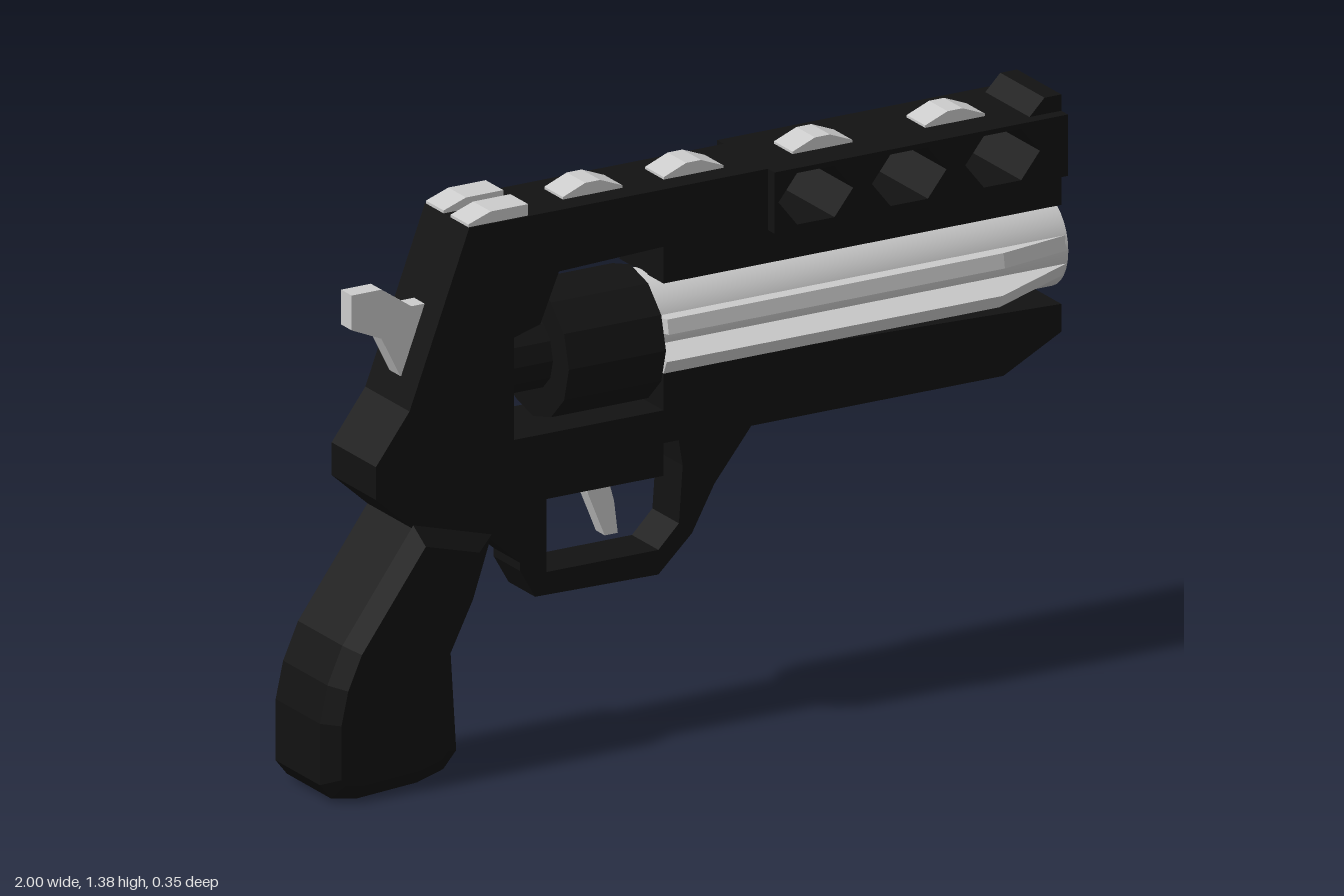
import * as THREE from 'three';
import { toCreasedNormals } from 'three/addons/utils/BufferGeometryUtils.js';

const black = new THREE.MeshStandardMaterial({ color: 0x121212 });
const grey = new THREE.MeshStandardMaterial({ color: 0xcccccc });

const toPoints = (list) => list.map(([x, y]) => new THREE.Vector2(x, y));

// Extrudes a side profile to a half width, centred on z = 0, with an optional inward bevel
function slab(profile, half, { holes = [], bevel = 0, bevelDepth = 0 } = {}) {
  const shape = new THREE.Shape(toPoints(profile));
  for (const h of holes) shape.holes.push(new THREE.Path(toPoints(h)));
  const depth = 2 * (half - bevelDepth);
  const geo = new THREE.ExtrudeGeometry(shape, {
    depth, bevelEnabled: bevel > 0, bevelSize: bevel, bevelOffset: -bevel,
    bevelThickness: bevelDepth, bevelSegments: 1,
  });
  return geo.translate(0, 0, -depth / 2);
}

// Revolves [x, radius] points around a line along x at height y
function turned(profile, y, sides) {
  const geo = new THREE.LatheGeometry(profile.map(([x, r]) => new THREE.Vector2(r, x)), sides);
  return toCreasedNormals(geo.rotateZ(-Math.PI / 2), 0.4).translate(0, y, 0);
}

const hexagon = (cx, cy, w, h) =>
  [[-w, 0], [-w / 2, h], [w / 2, h], [w, 0], [w / 2, -h], [-w / 2, -h]].map(([x, y]) => [cx + x, cy + y]);

export function createModel() {
  const model = new THREE.Group();
  const add = (name, geo, mat) => {
    const mesh = new THREE.Mesh(geo, mat);
    mesh.name = name;
    model.add(mesh);
    return mesh;
  };
  const vents = [0.31, 0.56, 0.81].map((x) => hexagon(x, 1.265, 0.1, 0.063));

  // Frame: top strap with front sight, recoil shield, lower bar and underlug
  add('frame', slab([
    [-0.6, 1.34], [0.9, 1.34], [0.94, 1.38], [0.985, 1.38], [0.985, 1.11], [-0.08, 1.11],
    [-0.08, 1.2], [-0.36, 1.19], [-0.41, 1.07], [-0.48, 1.05], [-0.48, 0.8], [-0.08, 0.8],
    [-0.08, 0.895], [0.3, 0.89], [0.985, 0.868], [0.985, 0.8], [0.83, 0.72], [-0.08, 0.72],
    [-0.08, 0.64], [-0.43, 0.64], [-0.54, 0.57], [-0.75, 0.63], [-0.85, 0.72], [-0.85, 0.8],
    [-0.76, 0.92],
  ], 0.1, { holes: vents }), black);

  // Wider vented rail along the front of the strap
  add('ventedRail', slab([[0.2, 1.19], [0.985, 1.19], [0.985, 1.34], [0.2, 1.34]], 0.13, { holes: vents }), black);

  // Grip with chamfered edges
  add('grip', slab([
    [-0.75, 0.64], [-0.94, 0.38], [-0.98, 0.29], [-1, 0.2], [-1, 0.05], [-0.97, 0.012], [-0.9, 0],
    [-0.74, 0.01], [-0.67, 0.03], [-0.635, 0.07], [-0.65, 0.31], [-0.59, 0.43], [-0.54, 0.58],
  ], 0.13, { bevel: 0.04, bevelDepth: 0.03 }), black);

  // Trigger guard and trigger
  add('triggerGuard', slab([
    [-0.54, 0.57], [-0.44, 0.48], [-0.44, 0.46], [-0.4, 0.39], [-0.07, 0.385], [0.02, 0.47],
    [0.08, 0.58], [0.2, 0.73], [-0.02, 0.73], [-0.005, 0.64], [-0.015, 0.5], [-0.07, 0.445],
    [-0.37, 0.445], [-0.37, 0.66], [-0.5, 0.66],
  ], 0.06), black);
  add('trigger', slab([
    [-0.25, 0.66], [-0.235, 0.6], [-0.19, 0.49], [-0.155, 0.49], [-0.165, 0.57], [-0.19, 0.66],
  ], 0.02), grey);

  // Cylinder and its rear hub
  add('cylinder', turned([[-0.37, 0], [-0.37, 0.162], [-0.11, 0.162], [-0.11, 0]], 0.97, 12), black);
  add('cylinderHub', turned([[-0.5, 0], [-0.5, 0.09], [-0.36, 0.09], [-0.36, 0]], 0.97, 12), black);

  // Barrel with a bore open at the muzzle
  add('barrel', turned([
    [-0.11, 0], [-0.11, 0.115], [0.995, 0.115], [0.995, 0.072], [0.6, 0.072], [0.6, 0],
  ], 1, 32), grey);

  // Two tapering fins on each side of the barrel
  for (const side of [-1, 1]) {
    for (const angle of [80, 115]) {
      const fin = add('barrelFin', slab([
        [-0.11, 0.08], [-0.11, 0.174], [0.79, 0.174], [0.99, 0.114], [0.99, 0.08],
      ], 0.018), grey);
      fin.rotation.x = side * THREE.MathUtils.degToRad(angle);
      fin.position.y = 1;
    }
  }

  // Hammer
  add('hammer', slab([
    [-0.87, 1.2], [-0.79, 1.2], [-0.71, 1.145], [-0.6, 1.145], [-0.6, 0.98], [-0.74, 0.98],
    [-0.79, 1.08], [-0.87, 1.115],
  ], 0.024), grey);

  // Split rear sight
  for (const side of [-1, 1]) {
    const sight = add('rearSight', slab([
      [-0.6, 1.33], [-0.6, 1.347], [-0.54, 1.368], [-0.44, 1.368], [-0.44, 1.33],
    ], 0.04), grey);
    sight.position.z = side * 0.056;
  }

  // Raised studs along the top strap
  for (const x of [-0.235, 0.035, 0.38, 0.735]) {
    const stud = add('topStud', slab([
      [-0.08, 1.33], [-0.08, 1.346], [-0.02, 1.37], [0.02, 1.37], [0.08, 1.346], [0.08, 1.33],
    ], 0.042), grey);
    stud.position.x = x;
  }

  return model;
}
